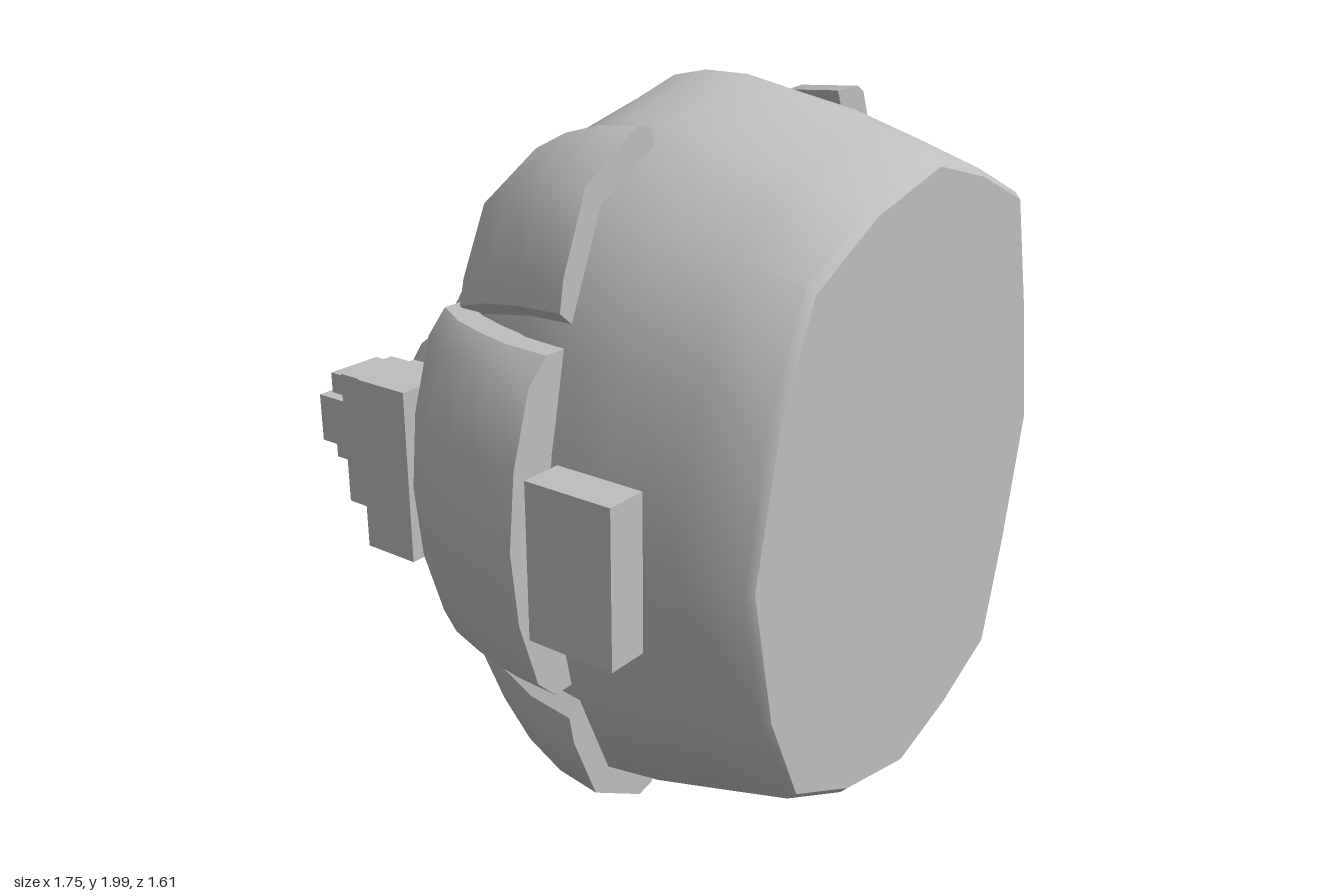
import * as THREE from 'three';
import { toCreasedNormals } from 'three/addons/utils/BufferGeometryUtils.js';

// Closed solid through rings of equal point count, with fan caps at both ends
function loft(rings, crease = 0.7) {
  const n = rings[0].length;
  const tris = [];
  const mid = (r) => r.reduce((s, p) => s.add(p), new THREE.Vector3()).divideScalar(n);
  const first = rings[0], last = rings[rings.length - 1];
  const c0 = mid(first), c1 = mid(last);
  for (let j = 0; j < n; j++) {
    const k = (j + 1) % n;
    for (let i = 0; i < rings.length - 1; i++) {
      const a = rings[i], b = rings[i + 1];
      tris.push([a[j], a[k], b[k]], [a[j], b[k], b[j]]);
    }
    tris.push([c0, first[k], first[j]], [c1, last[j], last[k]]);
  }
  // Turn the faces outward, whatever the ring direction
  const volume = tris.reduce((s, [a, b, c]) => s + a.dot(b.clone().cross(c)), 0);
  const pts = tris.flatMap(([a, b, c]) => (volume < 0 ? [a, c, b] : [a, b, c]));
  return toCreasedNormals(new THREE.BufferGeometry().setFromPoints(pts), crease);
}

const V = (x, y, z) => new THREE.Vector3(x, y, z);

export function createModel() {
  const group = new THREE.Group();
  const grey = new THREE.MeshStandardMaterial({ color: 0xbebebe });
  grey.name = 'plain grey';
  const add = (name, geometry) => {
    const mesh = new THREE.Mesh(geometry, grey);
    mesh.name = name;
    group.add(mesh);
    return mesh;
  };

  // Body: one faceted outline, scaled along z from the narrow back to the flat front
  const upper = [[1, 0], [0.89, 0.44], [0.77, 0.8], [0.44, 0.92], [0.09, 1],
    [-0.33, 0.92], [-0.7, 0.77], [-0.88, 0.45], [-1, 0]];
  const outline = [...upper, ...upper.slice(1, -1).reverse().map(([u, v]) => [u, -v])];
  const sections = [ // z, half width, half height, centre x
    [-0.748, 0.29, 0.08, 0.03], [-0.73, 0.335, 0.14, 0.03], [-0.68, 0.37, 0.21, 0.03],
    [-0.6, 0.415, 0.27, 0.03], [-0.5, 0.465, 0.355, 0.03], [-0.4, 0.52, 0.47, 0.025],
    [-0.3, 0.57, 0.62, 0.02], [-0.2, 0.615, 0.78, 0.015], [-0.1, 0.665, 0.91, 0.01],
    [0, 0.71, 0.975, 0.01], [0.1, 0.75, 0.997, 0.01], [0.23, 0.765, 0.997, 0.01],
    [0.4, 0.76, 0.965, 0.01], [0.6, 0.74, 0.905, 0.01], [0.78, 0.715, 0.85, 0.005],
    [0.8, 0.7, 0.83, 0.005],
  ];
  add('body', loft(sections.map(([z, w, h, cx]) => {
    // The outline grows squarer toward the back
    const square = 0.08 * THREE.MathUtils.clamp(-z / 0.35, 0, 1);
    return outline.map(([u, v]) => {
      const grow = 1 + square * Math.min(1, 2 * Math.abs(u * v));
      return V(cx + u * w * grow, 1 + v * h * grow, z);
    });
  }), 0.78));

  // Tall curved band on the left side: columns are z, outer x, inner x, height factor
  const bandColumns = [[0.235, 0.875, 0.74, 1], [0.05, 0.87, 0.735, 0.985],
    [-0.03, 0.86, 0.72, 0.95], [-0.085, 0.845, 0.69, 0.89]];
  const bandRows = [-0.9, -0.88, -0.75, -0.6, -0.4, -0.2, 0, 0.2, 0.4, 0.6, 0.75, 0.88, 0.9];
  add('leftBand', loft(bandRows.map((d) => {
    const bevel = Math.abs(d) > 0.89 ? 0.025 : 0;
    const outer = bandColumns.map(([z, xo, , f]) => V(xo - 0.26 * d * d - bevel, 1 + d * f, z));
    const inner = bandColumns.map(([z, , xi, f]) => V(xi - 0.26 * d * d, 1 + d * f, z));
    return [...outer, ...inner.reverse()];
  })));

  // Stepped shield behind the band, its rear edge narrowing to the back
  const surface = [[-0.6, 0.53, 0.8], [-0.35, 0.7, 0.7], [-0.1, 0.815, 0.36], [0, 0.83, 0.3]];
  const shieldX = (z, d) => {
    let i = 0;
    while (i < 2 && z > surface[i + 1][0]) i++;
    const [za, xa, ka] = surface[i], [zb, xb, kb] = surface[i + 1];
    const t = (z - za) / (zb - za);
    return xa + (xb - xa) * t - (ka + (kb - ka) * t) * d * d;
  };
  const rear = [[0, -0.59], [0.12, -0.59], [0.29, -0.35], [0.44, -0.35], [0.6, -0.21], [0.76, -0.09]];
  const shieldRows = [...rear.slice(1).reverse().map(([d, z]) => [-d, z]), ...rear];
  add('leftShield', loft(shieldRows.map(([d, zb]) => {
    const zs = [0, 1, 2, 3, 4].map((i) => -0.02 + (zb + 0.02) * i / 4);
    const outer = zs.map((z) => V(shieldX(z, d), 1 + d, z));
    const inner = zs.map((z) => V(shieldX(z, d) - 0.11, 1 + d, z));
    return [...outer, ...inner.reverse()];
  })));

  // Middle plate on the right side
  const plateColumns = [[0.23, 0.872], [0.1, 0.865], [0, 0.84], [-0.12, 0.8], [-0.23, 0.735]];
  const plateRows = [-0.45, -0.39, -0.2, 0, 0.2, 0.39, 0.45];
  add('rightMiddlePlate', loft(plateRows.map((d) => {
    const bevel = Math.abs(d) > 0.42 ? 0.035 : 0;
    const outer = plateColumns.map(([z, x]) => V(-(x - 0.55 * d * d - bevel), 1 + d, z));
    const inner = plateColumns.map(([z, x]) => V(-(x - 0.14 - 0.4 * d * d), 1 + d, z));
    return [...outer, ...inner.reverse()];
  })));

  // Upper and lower corner plates: outer and inner path in x, y, shrinking to a slanted rear edge
  const path = [ // outer x, outer height, inner x, inner height, rear z
    [-0.68, 0.54, -0.61, 0.48, -0.19], [-0.665, 0.62, -0.58, 0.57, -0.18],
    [-0.58, 0.82, -0.5, 0.73, -0.16], [-0.39, 0.93, -0.34, 0.83, -0.12],
    [-0.335, 0.92, -0.305, 0.83, -0.1]];
  const shrink = (z) => 1 - 0.85 * (0.235 - z) ** 2;
  for (const side of [1, -1]) {
    add(side > 0 ? 'rightUpperPlate' : 'rightLowerPlate', loft(path.map(([xo, yo, xi, yi, zr]) => {
      const zs = [0, 1, 2, 3].map((i) => 0.235 + (zr - 0.235) * i / 3);
      const outer = zs.map((z) => V(xo * shrink(z), 1 + side * yo * shrink(z), z));
      const inner = zs.map((z) => V(xi * shrink(z), 1 + side * yi * shrink(z), z));
      return [...outer, ...inner.reverse()];
    })));
  }

  // Row of blocks along the right side: x range, half height, z range
  const blocks = [
    ['frontBlock', -0.88, -0.765, 0.205, 0.29, 0.54],
    ['rearBlock1', -0.705, -0.5, 0.24, -0.45, -0.28],
    ['rearBlock2', -0.605, -0.415, 0.19, -0.63, -0.48],
    ['rearBlock3', -0.5, -0.325, 0.13, -0.795, -0.66],
    ['rearBlock4', -0.535, -0.34, 0.07, -0.81, -0.65],
  ];
  for (const [name, x0, x1, h, z0, z1] of blocks) {
    add(name, new THREE.BoxGeometry(x1 - x0, 2 * h, z1 - z0))
      .position.set((x0 + x1) / 2, 1, (z0 + z1) / 2);
  }
  // Small stem joining the front block to the body
  add('frontBlockStem', new THREE.BoxGeometry(0.06, 0.16, 0.06)).position.set(-0.75, 1, 0.46);

  return group;
}
